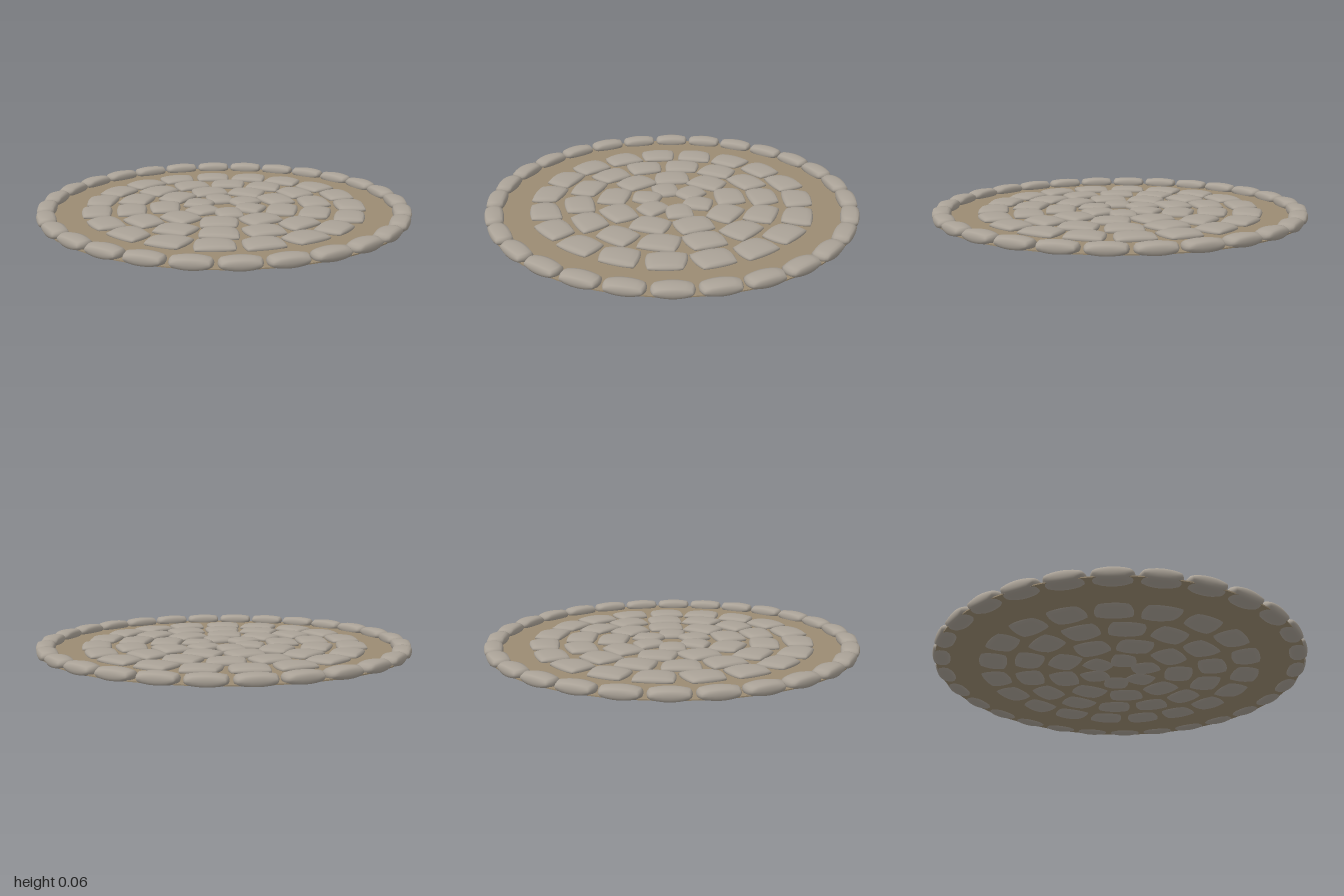
import * as THREE from 'three';
import { mergeVertices } from 'three/addons/utils/BufferGeometryUtils.js';

export function createModel() {
  const stoneMat = new THREE.MeshStandardMaterial({ color: 0xaaa297 });
  stoneMat.name = 'grey stone';
  const earthMat = new THREE.MeshStandardMaterial({ color: 0x9b8b72 });
  earthMat.name = 'sandy earth';

  let seed = 11;
  const jitter = (amount) => {
    seed = (seed * 16807) % 2147483647;
    return (seed / 2147483647 - 0.5) * 2 * amount;
  };

  // Pillow-shaped stone: a box whose sides bulge, with optional skew and taper
  function stoneGeometry(width, height, depth, pinch, uneven) {
    let geo = new THREE.BoxGeometry(2, 2, 2, 6, 4, 6);
    geo.deleteAttribute('uv');
    geo.deleteAttribute('normal');
    geo = mergeVertices(geo);
    const skew = jitter(uneven), taperX = jitter(uneven), taperZ = jitter(uneven);
    const p = geo.attributes.position;
    for (let i = 0; i < p.count; i++) {
      const x = p.getX(i), y = p.getY(i), z = p.getZ(i);
      const bx = x * (1 - pinch * z * z - 0.12 * y * y);
      const by = y * (1 - 0.22 * x * x - 0.18 * z * z);
      const bz = z * (1 - pinch * x * x - 0.14 * y * y);
      p.setXYZ(i,
        (bx * (1 + taperX * z) + skew * bz) * width / 2,
        by * height / 2,
        bz * (1 + taperZ * x) * depth / 2);
    }
    geo.computeVertexNormals();
    return geo;
  }

  // Ring of stones: width runs around the ring, depth along the radius
  function stoneRing(name, o) {
    const ring = new THREE.Group();
    ring.name = name;
    for (let i = 0; i < o.count; i++) {
      const a = THREE.MathUtils.degToRad(o.start) + (i / o.count) * Math.PI * 2;
      const geo = stoneGeometry(o.width, o.height, o.depth, o.pinch, o.uneven);
      const stone = new THREE.Mesh(geo, stoneMat);
      stone.name = name + 'Stone';
      stone.position.set(Math.cos(a) * o.radius, o.height / 2, Math.sin(a) * o.radius);
      stone.rotation.y = Math.PI / 2 - a + jitter(o.uneven);
      ring.add(stone);
    }
    return ring;
  }

  const model = new THREE.Group();
  model.name = 'stonePatio';

  // Thin earth bed that the stones poke through
  const bed = new THREE.Mesh(new THREE.CylinderGeometry(0.985, 0.985, 0.006, 72), earthMat);
  bed.name = 'earthBed';
  bed.position.y = 0.012;
  model.add(bed);

  // Raised border
  model.add(stoneRing('border', {
    count: 28, radius: 0.95, start: 0, width: 0.2, height: 0.06, depth: 0.1, pinch: 0.13, uneven: 0,
  }));

  // Paving rings: count, radius, start angle, width, depth
  const paving = [
    [6, 0.145, -14.5, 0.145, 0.16],
    [9, 0.32, 20, 0.2, 0.165],
    [14, 0.5, 7, 0.2, 0.162],
    [19, 0.685, 2.5, 0.2, 0.16],
  ];
  paving.forEach(([count, radius, start, width, depth], i) => {
    model.add(stoneRing('pavingRing' + (i + 1), {
      count, radius, start, width, depth, height: 0.042, pinch: 0.1, uneven: 0.09,
    }));
  });
  return model;
}
